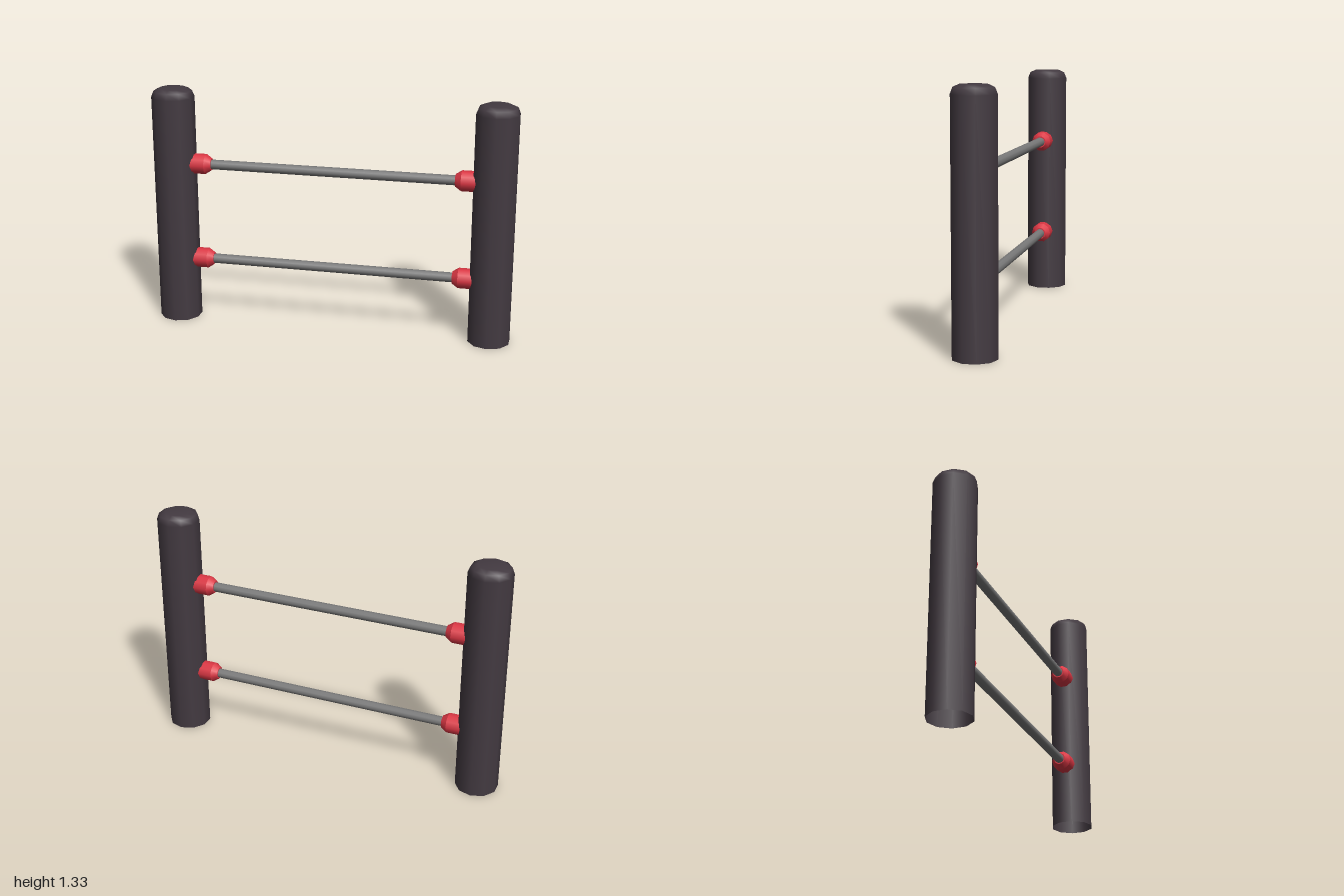
import * as THREE from 'three';

export function createModel() {
  const model = new THREE.Group();
  const mat = (name, color, side = THREE.FrontSide) =>
    Object.assign(new THREE.MeshStandardMaterial({ color, side }), { name });
  const darkPost = mat('dark post', 0x433a41, THREE.DoubleSide);
  const redClamp = mat('red clamp', 0xdc3744);
  const greyMetal = mat('grey metal', 0x7a7a7a);

  const add = (parent, name, geometry, material) => {
    const mesh = new THREE.Mesh(geometry, material);
    mesh.name = name;
    parent.add(mesh);
    return mesh;
  };

  // Ten-sided posts, rounded at the top and open underneath
  const profile = [[0.118, 0], [0.118, 1.285], [0.105, 1.318], [0.072, 1.333], [0, 1.333]]
    .map(([r, y]) => new THREE.Vector2(r, y));
  const postGeometry = new THREE.LatheGeometry(profile, 10);

  // Tube along x, running from x0 (radius r0) to x1 (radius r1)
  const tubeX = (x0, r0, x1, r1, open) =>
    new THREE.CylinderGeometry(r1, r0, x1 - x0, 10, 1, open)
      .rotateZ(-Math.PI / 2)
      .translate((x0 + x1) / 2, 0, 0);
  const barGeometry = tubeX(-0.72, 0.027, 0.72, 0.027, true);
  const collarGeometry = tubeX(0.71, 0.056, 0.83, 0.056, true);
  const taperGeometry = tubeX(0.677, 0.034, 0.71, 0.056, false);

  for (const side of [-1, 1]) {
    add(model, side > 0 ? 'leftPost' : 'rightPost', postGeometry, darkPost)
      .position.x = side * 0.888;
  }

  // Two rails, each with a clamp at both ends
  for (const [name, y] of [['lowerRail', 0.355], ['upperRail', 0.91]]) {
    const rail = new THREE.Group();
    rail.name = name;
    rail.position.y = y;
    add(rail, 'bar', barGeometry, greyMetal);
    for (const side of [-1, 1]) {
      const clamp = new THREE.Group();
      clamp.name = side > 0 ? 'leftClamp' : 'rightClamp';
      clamp.rotation.y = side > 0 ? 0 : Math.PI;
      add(clamp, 'collar', collarGeometry, redClamp);
      add(clamp, 'taper', taperGeometry, redClamp);
      rail.add(clamp);
    }
    model.add(rail);
  }
  return model;
}
